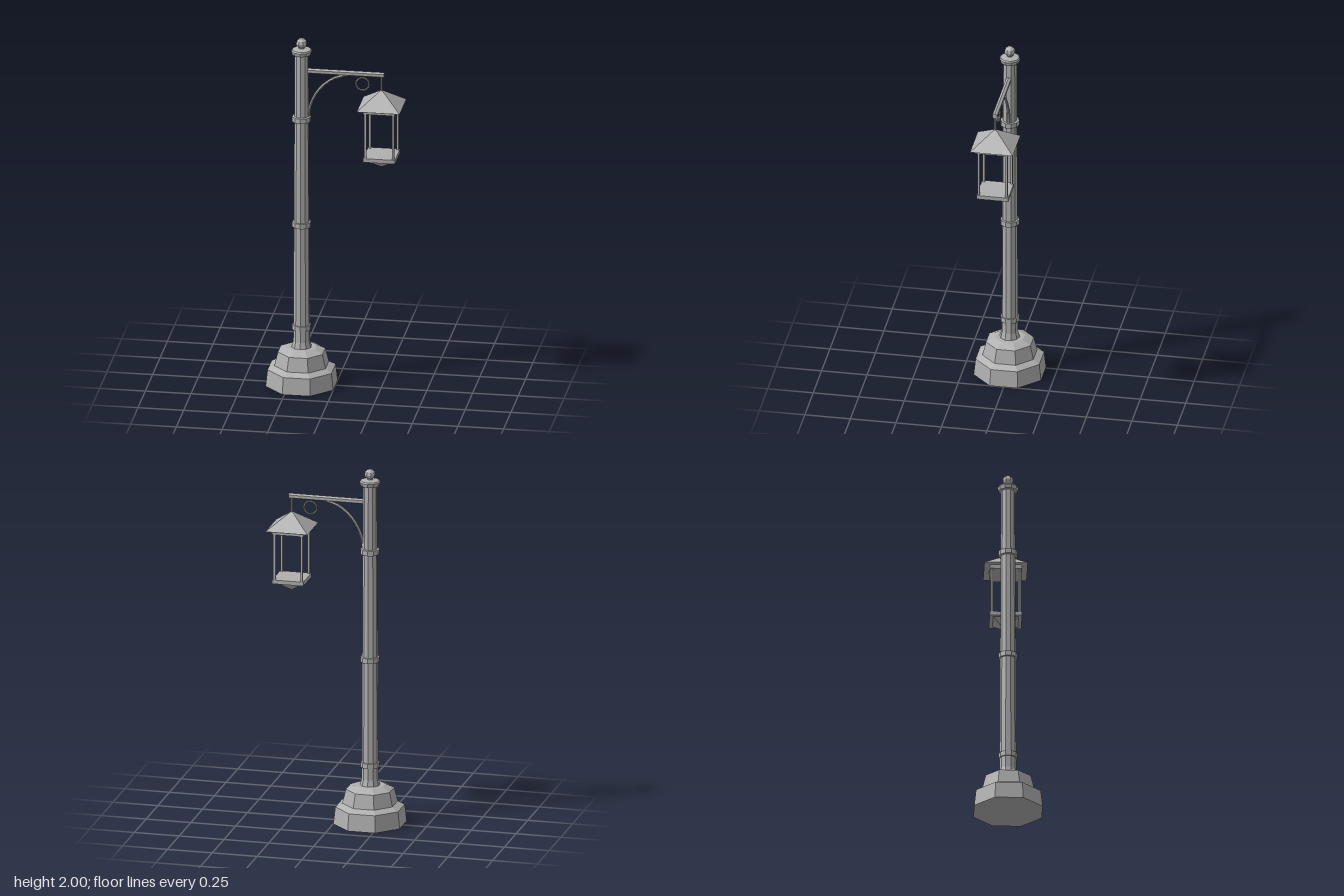
import * as THREE from 'three';

const POST_X = -0.185;
const LAMP_X = 0.252;

export function createModel() {
  const model = new THREE.Group();
  model.name = 'streetLamp';
  const iron = new THREE.MeshStandardMaterial({ color: 0xb0b0b0, flatShading: true });
  iron.name = 'grey iron';

  const add = (name, geometry, x, y, z = 0) => {
    const mesh = new THREE.Mesh(geometry, iron);
    mesh.name = name;
    mesh.position.set(x, y, z);
    model.add(mesh);
    return mesh;
  };
  // Faceted turned part from [radius, height] pairs, bottom to top
  const turned = (profile, sides, start = 0) =>
    new THREE.LatheGeometry(profile.map(([r, y]) => new THREE.Vector2(r, y)), sides, start);
  // Square pyramid with its flat sides facing the axes
  const pyramid = (half, height) =>
    new THREE.ConeGeometry(half * Math.SQRT2, height, 4).rotateY(Math.PI / 4);

  // Stepped octagonal base, given by distances to its flat sides
  const base = [[0, 0], [0.185, 0], [0.175, 0.095], [0.14, 0.115],
    [0.122, 0.193], [0.077, 0.215], [0, 0.215]];
  const toCorner = 1 / Math.cos(Math.PI / 8);
  add('base', turned(base.map(([r, y]) => [r * toCorner, y]), 8, Math.PI / 8), POST_X, 0);

  // Tapered ten-sided post with a flared foot
  add('post', turned([[0.056, 0.21], [0.046, 0.25], [0.045, 0.32], [0.038, 1.92]], 10), POST_X, 0);

  // Collars around the post
  for (const y of [0.33, 0.925, 1.535]) {
    add('collar', turned([[0.036, -0.016], [0.052, -0.014], [0.052, 0.014], [0.036, 0.016]], 10), POST_X, y);
  }

  // Cap and finial
  add('cap', turned([[0.036, 1.905], [0.052, 1.908], [0.057, 1.928], [0.052, 1.936],
    [0.02, 1.942], [0, 1.942]], 10), POST_X, 0);
  add('finial', turned([[0.016, 1.938], [0.016, 1.947], [0.027, 1.957], [0.031, 1.97],
    [0.026, 1.986], [0.014, 1.997], [0, 2]], 8, Math.PI / 8), POST_X, 0);

  // Horizontal arm
  add('arm', new THREE.CylinderGeometry(0.0155, 0.0155, 0.425, 6)
    .rotateY(Math.PI / 2).rotateZ(-Math.PI / 2), 0.055, 1.813);

  // Curved brace under the arm
  const bracePath = new THREE.CatmullRomCurve3(
    [[-0.148, 1.55], [-0.14, 1.605], [-0.115, 1.67], [-0.072, 1.73], [-0.01, 1.778], [0.065, 1.803]]
      .map(([x, y]) => new THREE.Vector3(x, y, 0)));
  add('brace', new THREE.TubeGeometry(bracePath, 10, 0.008, 6), 0, 0);

  // Ornamental ring
  add('ring', new THREE.TorusGeometry(0.036, 0.005, 6, 14), 0.148, 1.755);

  // Lantern: hanger, roof, frames, uprights and lower point
  add('hanger', new THREE.CylinderGeometry(0.007, 0.007, 0.1, 6), LAMP_X, 1.76);
  add('lanternRoof', pyramid(0.1175, 0.092), LAMP_X, 1.682);
  add('upperFrame', new THREE.BoxGeometry(0.175, 0.024, 0.175), LAMP_X, 1.625);
  add('lowerFrame', new THREE.BoxGeometry(0.175, 0.022, 0.175), LAMP_X, 1.346);
  for (const sx of [-1, 1]) {
    for (const sz of [-1, 1]) {
      add('lanternUpright', new THREE.BoxGeometry(0.012, 0.27, 0.012),
        LAMP_X + sx * 0.076, 1.485, sz * 0.076);
    }
  }
  add('lanternPoint', pyramid(0.07, 0.055).rotateX(Math.PI), LAMP_X, 1.3085);

  return model;
}
